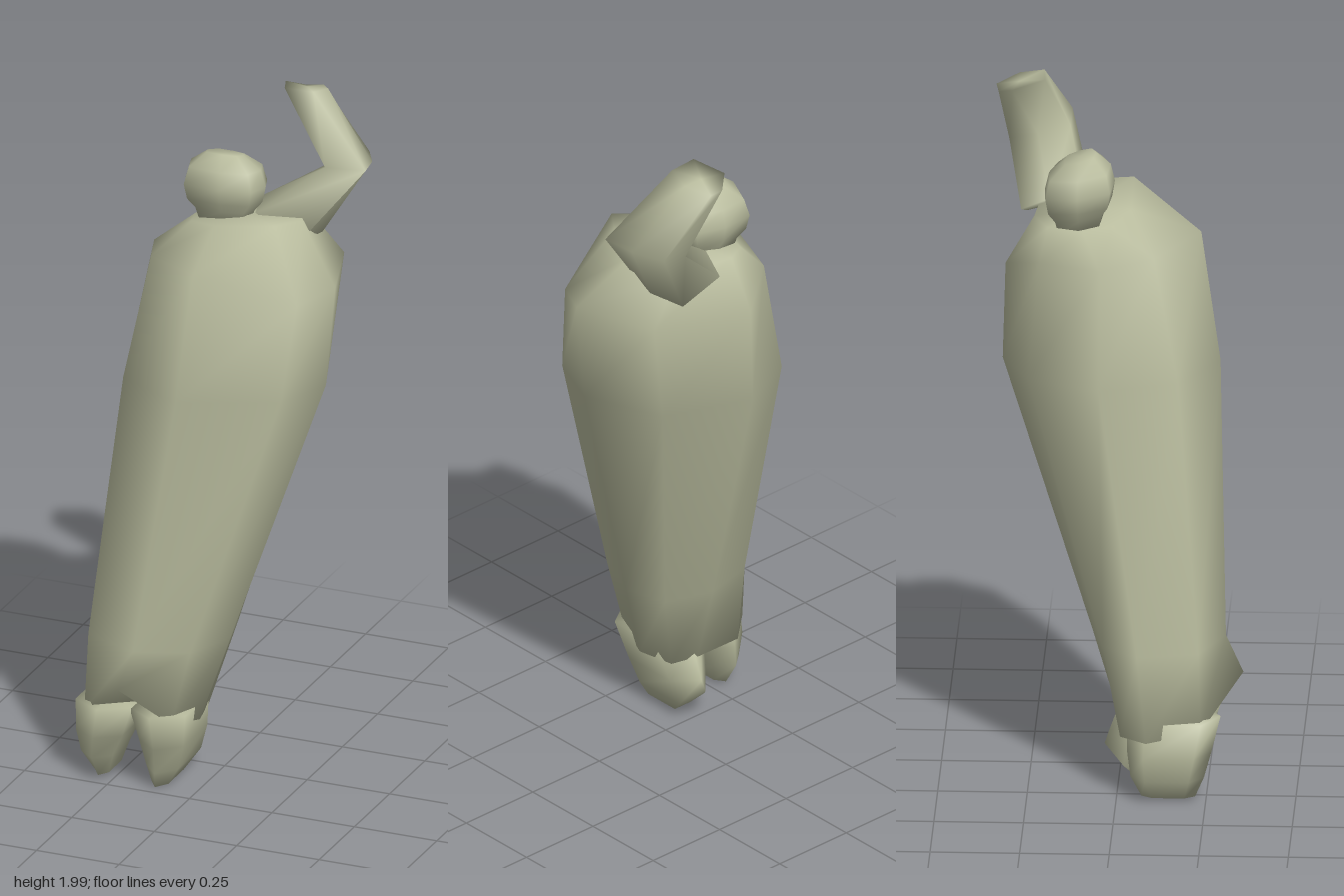
import * as THREE from 'three';

const material = new THREE.MeshStandardMaterial({ color: 0xb9bc9e });

// Smooth skin over rings of [x, y, z] points (counterclockwise seen from the last ring), both ends closed
function loft(name, rings) {
  const n = rings[0].length;
  const positions = rings.flat(2);
  const index = [];
  const centre = (ring) => [0, 1, 2].map((k) => ring.reduce((s, p) => s + p[k], 0) / n);
  for (let r = 0; r < rings.length - 1; r++) {
    for (let i = 0; i < n; i++) {
      const j = (i + 1) % n;
      const a = r * n + i, b = r * n + j, c = a + n, d = b + n;
      index.push(a, b, d, a, d, c);
    }
  }
  const last = (rings.length - 1) * n;
  const start = rings.length * n;
  positions.push(...centre(rings[0]), ...centre(rings[rings.length - 1]));
  for (let i = 0; i < n; i++) {
    const j = (i + 1) % n;
    index.push(start, j, i, start + 1, last + i, last + j);
  }
  const geometry = new THREE.BufferGeometry();
  geometry.setAttribute('position', new THREE.Float32BufferAttribute(positions, 3));
  geometry.setIndex(index);
  geometry.computeVertexNormals();
  const mesh = new THREE.Mesh(geometry, material);
  mesh.name = name;
  return mesh;
}

// Level ring from [x, z] points
const level = (y, points) => points.map(([x, z]) => [x, y, z]);

// Six-sided foot ring: centre, half width and depth range
const footRing = (y, cx, w, z0, z1, lift = 0) => {
  const zm = (z0 + z1) / 2, q = (z1 - z0) * 0.3;
  return [
    [cx, y + lift, z0], [cx - w, y, zm - q], [cx - w, y, zm + q],
    [cx, y, z1], [cx + w, y, zm + q], [cx + w, y, zm - q],
  ];
};

export function createModel() {
  const group = new THREE.Group();
  group.name = 'robedFigure';

  // Robe: leaning body, widening from the hem to the shoulders
  group.add(loft('robe', [
    [[-0.12, 0.2, 0.0], [-0.28, 0.19, 0.01], [-0.365, 0.2, 0.085], [-0.325, 0.22, 0.235],
      [-0.175, 0.35, 0.35], [-0.06, 0.22, 0.24], [-0.02, 0.2, 0.13], [-0.04, 0.2, 0.02]],
    level(0.45, [[-0.11, -0.075], [-0.26, -0.04], [-0.355, 0.06], [-0.315, 0.23],
      [-0.15, 0.3], [0.0, 0.245], [0.06, 0.1], [0.03, -0.03]]),
    level(1.22, [[-0.03, -0.328], [-0.21, -0.25], [-0.305, -0.05], [-0.235, 0.17],
      [-0.03, 0.28], [0.24, 0.165], [0.307, 0], [0.22, -0.23]]),
    [[-0.03, 1.5, -0.32], [-0.17, 1.55, -0.22], [-0.235, 1.55, -0.05], [-0.18, 1.57, 0.1],
      [0, 1.59, 0.225], [0.27, 1.5, 0.12], [0.335, 1.52, 0], [0.26, 1.52, -0.24]],
    [[-0.03, 1.64, -0.24], [-0.1, 1.63, -0.2], [-0.13, 1.63, -0.1], [-0.11, 1.64, -0.02],
      [-0.02, 1.66, 0.03], [0.165, 1.69, 0.03], [0.2, 1.67, -0.08], [0.15, 1.65, -0.22]],
  ]));

  // Feet below the hem, with a notch between them
  group.add(loft('rightFoot', [
    footRing(0.02, -0.29, 0.02, 0.07, 0.22),
    footRing(0.08, -0.3, 0.048, 0.04, 0.245),
    footRing(0.15, -0.288, 0.07, 0.03, 0.265),
    footRing(0.25, -0.265, 0.085, 0.03, 0.29),
  ]));
  group.add(loft('leftFoot', [
    footRing(0.01, -0.12, 0.025, 0.03, 0.215, 0.03),
    footRing(0.06, -0.113, 0.048, -0.04, 0.235, 0.05),
    footRing(0.14, -0.108, 0.067, -0.03, 0.255),
    footRing(0.25, -0.105, 0.085, 0.01, 0.29),
  ]));

  // Raised arm: shoulder, elbow and hand sections
  group.add(loft('raisedArm', [
    [[0.05, 1.66, -0.1], [0.19, 1.6, -0.08], [0.22, 1.6, -0.18],
      [0.18, 1.58, -0.27], [0.05, 1.63, -0.28], [0.03, 1.67, -0.2]],
    [[0.24, 1.81, -0.15], [0.363, 1.82, -0.15], [0.345, 1.81, -0.24],
      [0.3, 1.8, -0.325], [0.215, 1.78, -0.32], [0.225, 1.79, -0.24]],
    [[0.09, 2, -0.215], [0.175, 2, -0.22], [0.19, 1.985, -0.29],
      [0.15, 1.965, -0.353], [0.1, 1.96, -0.345], [0.055, 1.98, -0.305]],
  ]));

  // Head: rounded octagon, tipped slightly up at the face
  const outline = [[-0.035, -0.21], [-0.13, -0.205], [-0.165, -0.115], [-0.135, -0.025],
    [-0.025, -0.015], [0.06, -0.045], [0.075, -0.115], [0.05, -0.185]];
  const headRing = ([y, s]) => outline.map(([x, z]) =>
    [-0.045 + (x + 0.045) * s, y + (z + 0.11) * 0.12, -0.11 + (z + 0.11) * s]);
  group.add(loft('head', [[1.62, 0.62], [1.66, 0.72], [1.69, 0.92], [1.735, 1], [1.785, 0.88], [1.823, 0.45]].map(headRing)));

  return group;
}
